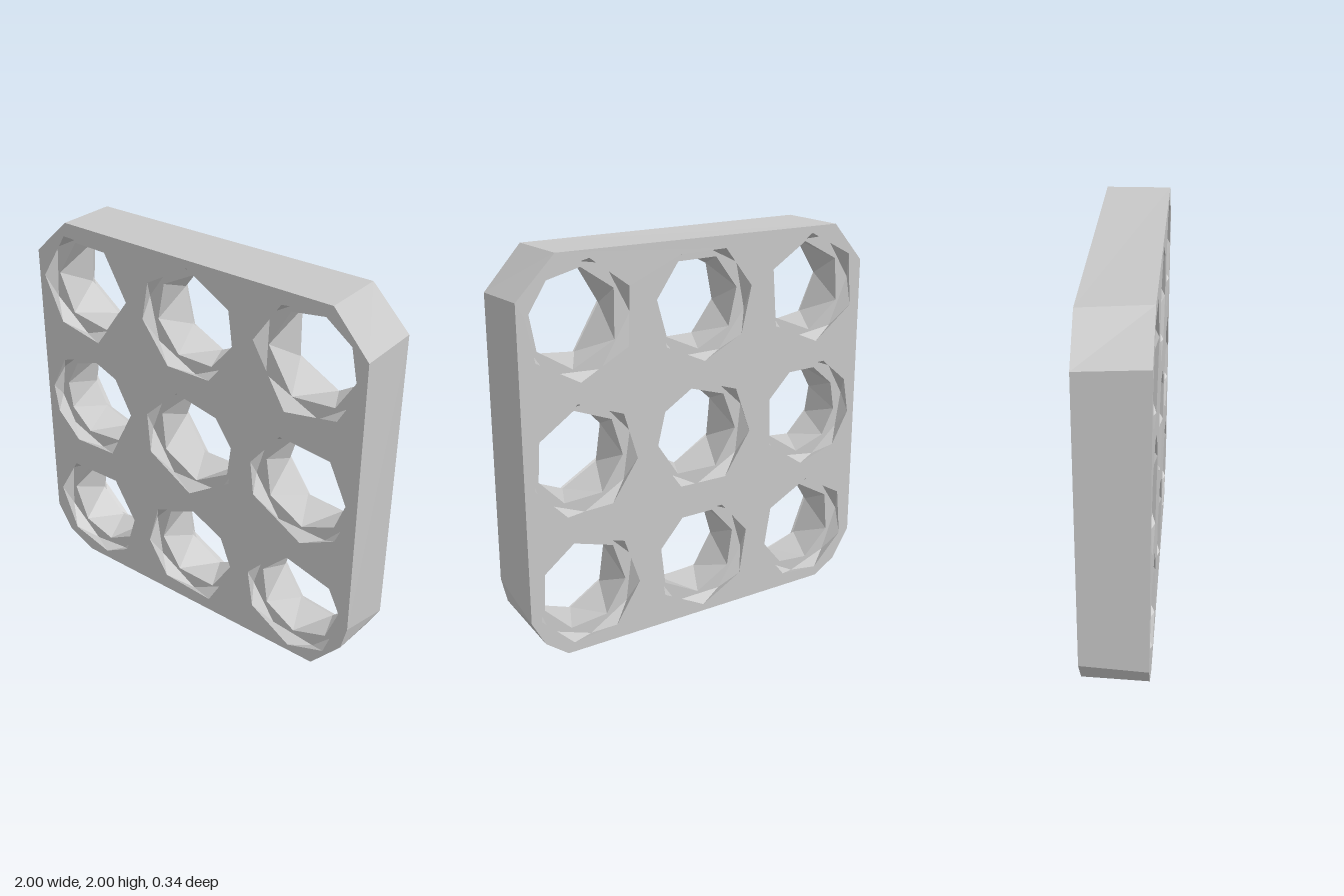
import * as THREE from 'three';

const FRONT = 0.165, BACK = -0.17, LEDGE = 0.06;
const OUTER_R = 0.286, INNER_R = 0.236;

// plate outlines, counter-clockwise seen from the front
const frontOutline = [[-0.75, 0.005], [0.8, 0.01], [0.965, 0.2], [0.995, 0.33], [0.99, 1.78],
  [0.8, 1.99], [-0.78, 2], [-0.99, 1.81], [-1, 0.22], [-0.91, 0.08]];
const backOutline = [[-0.77, 0.005], [0.8, 0.01], [0.92, 0.1], [0.99, 0.23], [0.99, 1.79],
  [0.79, 1.99], [-0.81, 1.99], [-0.99, 1.79], [-1, 0.24], [-0.9, 0.08]];

// corner angles of each hole, rows from the top down
const holeAngles = [
  [0, 60, 116, 178, 232, 285], [30, 90, 148, 190, 244, 297, 344], [33, 75, 118, 172, 250, 310, 350],
  [8, 50, 86, 131, 174, 205, 245, 298], [17, 52, 105, 162, 207, 271, 335], [55, 114, 168, 205, 275, 319, 356],
  [4, 59, 123, 175, 229, 280, 317], [2, 42, 86, 139, 189, 235, 298], [8, 43, 107, 168, 210, 267, 313],
];

// each next ring has its corners halfway between those of the last
const halfway = (a) => a.map((v, i) => (v + (i + 1 < a.length ? a[i + 1] : a[0] + 360)) / 2);

const ring = (cx, cy, r, angles, z) => angles.map((d) => {
  const t = THREE.MathUtils.degToRad(d);
  return new THREE.Vector3(cx + r * Math.cos(t), cy + r * Math.sin(t), z);
});

// band of triangles between successive rings
function loft(rings) {
  const pts = [];
  for (let k = 0; k + 1 < rings.length; k++) {
    const a = rings[k], b = rings[k + 1];
    for (let i = 0; i < a.length; i++) {
      const j = (i + 1) % a.length;
      pts.push(a[i], a[j], b[i], a[j], b[j], b[i]);
    }
  }
  const g = new THREE.BufferGeometry().setFromPoints(pts);
  g.computeVertexNormals();
  return g;
}

// flat pierced face of the plate
function face(outline, holes, z, flip) {
  const to2 = (p) => new THREE.Vector2(p.x, p.y);
  const shape = new THREE.Shape(outline.map(([x, y]) => new THREE.Vector2(x, y)));
  holes.forEach((h) => shape.holes.push(new THREE.Path(h.map(to2))));
  const g = new THREE.ShapeGeometry(shape);
  if (flip) {
    const idx = g.index.array;
    for (let i = 0; i < idx.length; i += 3) [idx[i], idx[i + 1]] = [idx[i + 1], idx[i]];
  }
  g.translate(0, 0, z);
  g.computeVertexNormals();
  return g;
}

export function createModel() {
  const group = new THREE.Group();
  const grey = new THREE.MeshStandardMaterial({ color: 0xc8c8c8, flatShading: true });
  grey.name = 'light grey';
  const add = (name, geometry) => {
    const mesh = new THREE.Mesh(geometry, grey);
    mesh.name = name;
    group.add(mesh);
  };

  // stepped holes: recess, ledge, bore, ledge, recess
  const frontHoles = [], backHoles = [];
  holeAngles.forEach((angles, n) => {
    const cx = (n % 3 - 1) * 0.67, cy = 1.67 - Math.floor(n / 3) * 0.67;
    const steps = [[OUTER_R, FRONT], [OUTER_R, FRONT - LEDGE], [INNER_R, FRONT - LEDGE],
      [INNER_R, BACK + LEDGE], [OUTER_R, BACK + LEDGE], [OUTER_R, BACK]];
    let a = angles;
    const rings = steps.map(([r, z]) => {
      const loop = ring(cx, cy, r, a, z);
      a = halfway(a);
      return loop;
    });
    frontHoles.push(rings[0]);
    backHoles.push(rings[5]);
    add('steppedHole' + (n + 1), loft(rings));
  });

  // plate
  const lift = (outline, z) => outline.map(([x, y]) => new THREE.Vector3(x, y, z));
  add('plateFront', face(frontOutline, frontHoles, FRONT, false));
  add('plateBack', face(backOutline, backHoles, BACK, true));
  add('plateRim', loft([lift(backOutline, BACK), lift(frontOutline, FRONT)]));
  return group;
}
